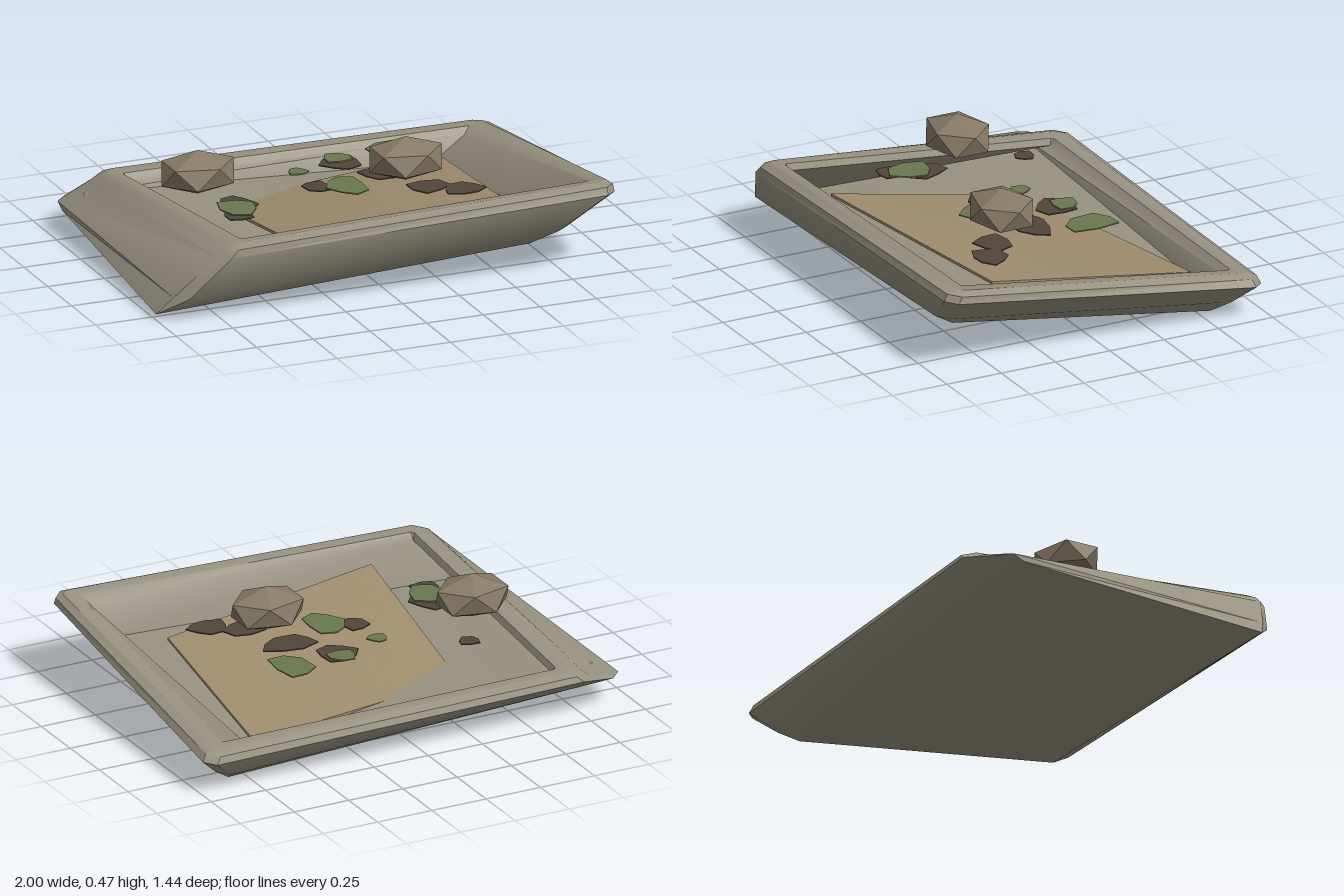
import * as THREE from 'three';
import { toCreasedNormals } from 'three/addons/utils/BufferGeometryUtils.js';

const mat = (color, flatShading = true) =>
  new THREE.MeshStandardMaterial({ color, flatShading, side: THREE.DoubleSide });
const TRAY = mat(0x979180, false), CARD = mat(0x9e8c6d), ROCK = mat(0x867a65),
  STONE = mat(0x51463a), LEAF = mat(0x68784d);

// Tray rings from underside over the rim to the floor.
// Corners: front left of frame, front right, back right, back left, then corner cut
const RINGS = [
  [[-1, .025, .54], [.65, .1, .54], [.82, 0, -.56], [-.95, .1, -.56], 0],
  [[-.94, .1, .63], [.78, .185, .66], [.91, .055, -.66], [-.95, .125, -.66], .05],
  [[-.78, .285, .71], [.965, .33, .72], [1, .14, -.72], [-.78, .165, -.72], .045],
  [[-.75, .315, .705], [.965, .36, .705], [.98, .17, -.71], [-.75, .19, -.71], .045],
  [[-.71, .335, .67], [.94, .375, .67], [.94, .19, -.68], [-.71, .205, -.68], .03],
  [[-.66, .33, .62], [.88, .365, .62], [.88, .19, -.62], [-.66, .2, -.62], .01],
  [[-.65, .3, .6], [.85, .335, .59], [.84, .165, -.595], [-.65, .175, -.6], 0],
  [[-.82, .12, .55], [.75, .18, .55], [.69, .08, -.56], [-.86, .16, -.56], 0],
];

const vec = (p) => new THREE.Vector3(...p);

// Four corners with each corner cut off, as eight points
function ringPoints(ring) {
  const cut = ring[4], c = ring.slice(0, 4).map(vec), out = [];
  c.forEach((p, i) => {
    for (const j of [(i + 3) % 4, (i + 1) % 4]) {
      out.push(p.clone().addScaledVector(c[j].clone().sub(p).normalize(), cut));
    }
  });
  return out;
}

// Skin between successive rings
function loft(rings) {
  const pos = [], idx = [], n = 8;
  rings.forEach((r) => ringPoints(r).forEach((p) => pos.push(p.x, p.y, p.z)));
  for (let r = 0; r < rings.length - 1; r++) {
    for (let i = 0; i < n; i++) {
      const a = r * n + i, b = r * n + (i + 1) % n;
      idx.push(a, b, b + n, a, b + n, a + n);
    }
  }
  const g = new THREE.BufferGeometry();
  g.setAttribute('position', new THREE.Float32BufferAttribute(pos, 3));
  g.setIndex(idx);
  return toCreasedNormals(g, 0.6);
}

// Stretch a unit square lying in xz over four corners
function warp(g, corners) {
  const [fl, fr, br, bl] = corners.slice(0, 4).map(vec);
  const p = g.attributes.position;
  for (let i = 0; i < p.count; i++) {
    const u = p.getX(i) + 0.5, v = p.getZ(i) + 0.5;
    const front = fl.clone().lerp(fr, u), back = bl.clone().lerp(br, u);
    const q = back.lerp(front, v);
    p.setXYZ(i, q.x, q.y + p.getY(i), q.z);
  }
  g.computeVertexNormals();
  return g;
}

// Irregular thin flake
function flake(radiusX, radiusZ, sides, seed) {
  const s = new THREE.Shape();
  for (let i = 0; i < sides; i++) {
    const a = (i / sides) * Math.PI * 2 + seed;
    const k = 0.95 + 0.13 * Math.sin(seed * 7.3 + i * 2.4);
    const x = Math.cos(a) * radiusX * k, y = Math.sin(a) * radiusZ * k;
    if (i) s.lineTo(x, y); else s.moveTo(x, y);
  }
  return new THREE.ExtrudeGeometry(s, { depth: 0.005, bevelEnabled: false }).rotateX(-Math.PI / 2);
}

export function createModel() {
  const model = new THREE.Group();
  const add = (name, geometry, material, parent = model) => {
    const m = new THREE.Mesh(geometry, material);
    m.name = name;
    parent.add(m);
    return m;
  };

  // Warped tray: walls with rolled rim, floor and underside
  const tray = new THREE.Group();
  tray.name = 'tray';
  model.add(tray);
  const square = (up) => new THREE.PlaneGeometry(1, 1, 10, 10).rotateX(up * -Math.PI / 2);
  add('trayWalls', loft(RINGS), TRAY, tray);
  add('trayFloor', warp(square(1), RINGS[RINGS.length - 1]), TRAY, tray);
  add('trayUnderside', warp(square(-1), RINGS[0]), TRAY, tray);

  // Tilted card whose far corner sinks into the floor
  add('card', warp(new THREE.BoxGeometry(1, 0.012, 1, 8, 1, 8),
    [[-.42, .265, .53], [.62, .225, .34], [.69, .12, -.54], [-.35, .11, -.35]]), CARD);

  // Two faceted rocks, point up
  [[-.54, .358, -.115], [.28, .38, .117]].forEach(([x, y, z]) => {
    const g = new THREE.IcosahedronGeometry(1, 0)
      .rotateZ(Math.atan(0.618)).rotateY(Math.PI).scale(0.178, 0.094, 0.14);
    add('rock', g, ROCK).position.set(x, y, z);
  });

  // Scattered flat debris: x, z, radius x, radius z
  const scatter = (name, list, material, y) => list.forEach(([x, z, rx, rz], i) => {
    add(name, flake(rx, rz, 7 + (i % 2), i * 1.7 + 0.4), material).position.set(x, y, z);
  });
  scatter('stoneFlake', [[-.4, -.35, .05, .045], [-.45, .09, .08, .1], [-.5, .21, .065, .07],
    [.13, -.21, .09, .09], [-.07, .02, .06, .07], [.26, -.03, .125, .08],
    [.35, .19, .09, .08], [.47, .27, .09, .075]], STONE, 0.27);
  scatter('leaf', [[-.47, .14, .09, .1], [-.08, -.16, .045, .042], [.13, -.25, .065, .06],
    [.04, .07, .085, .115], [.36, -.25, .085, .125]], LEAF, 0.276);

  return model;
}
